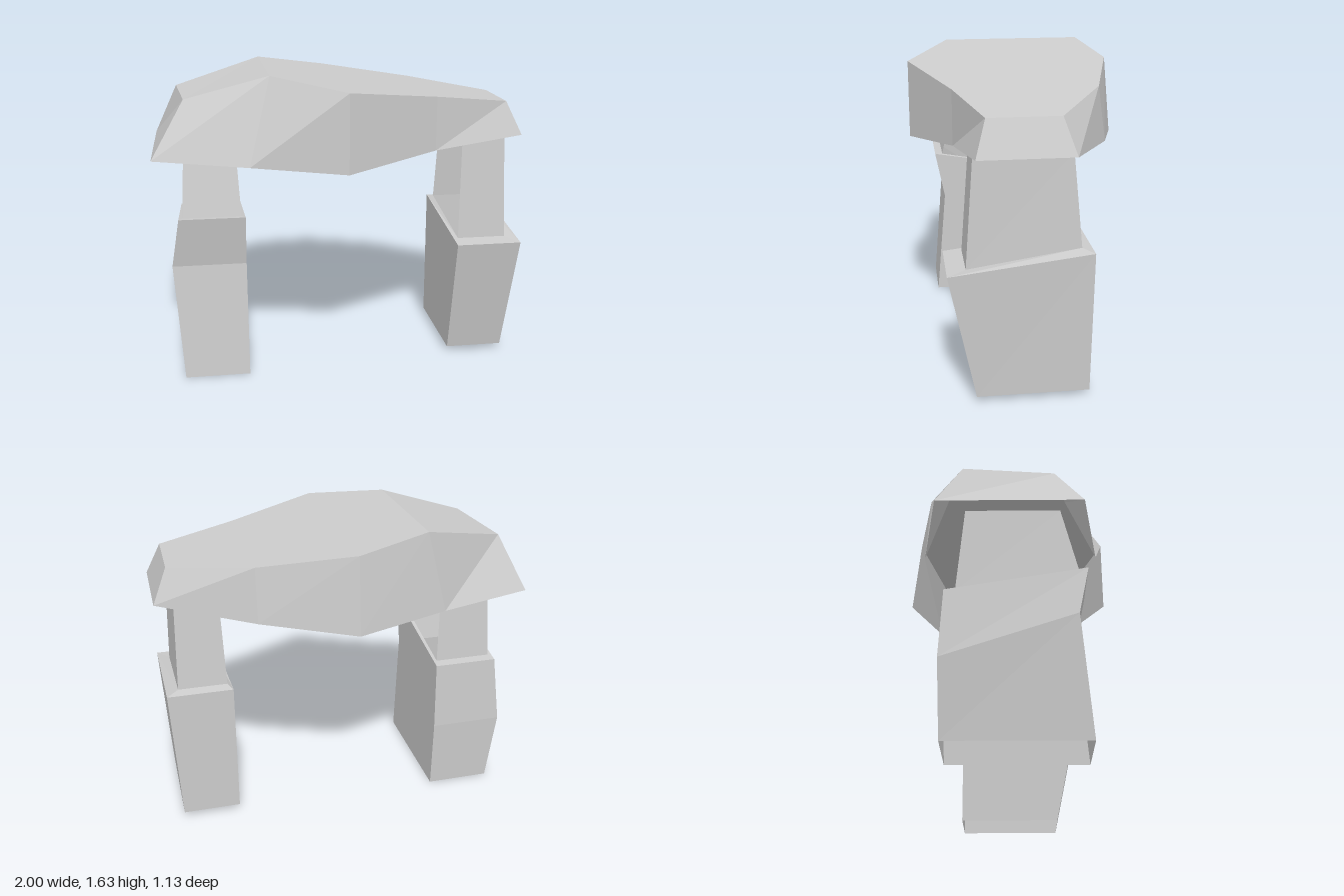
import * as THREE from 'three';

const material = new THREE.MeshStandardMaterial({
  color: 0xcccccc, flatShading: true, side: THREE.DoubleSide,
});

// Builds a mesh from a list of four-cornered faces.
function quadMesh(name, quads) {
  const pos = [];
  for (const [a, b, c, d] of quads) pos.push(...a, ...b, ...c, ...a, ...c, ...d);
  const geo = new THREE.BufferGeometry();
  geo.setAttribute('position', new THREE.Float32BufferAttribute(pos, 3));
  geo.computeVertexNormals();
  const mesh = new THREE.Mesh(geo, material);
  mesh.name = name;
  return mesh;
}

// Joins two closed loops of points with a wall, leaving out the listed edges.
function wall(low, high, skip = []) {
  const quads = [];
  low.forEach((p, i) => {
    const j = (i + 1) % low.length;
    if (!skip.includes(i)) quads.push([p, low[j], high[j], high[i]]);
  });
  return quads;
}

// Four-cornered leg section: inner and outer x, then [y, z] at front and back.
function section(side, xIn, xOut, [yf, zf], [yb, zb]) {
  const loop = [
    [side * xIn, yf, zf], [side * xOut, yf, zf],
    [side * xOut, yb, zb], [side * xIn, yb, zb],
  ];
  // mirrored sections run the other way round so faces still point outward
  return side > 0 ? loop : [loop[1], loop[0], loop[3], loop[2]];
}

function leg(side, name, lower, upper) {
  const group = new THREE.Group();
  group.name = name;
  const low = lower.map((s) => section(side, ...s));
  const up = upper.map((s) => section(side, ...s));
  const rim = low[low.length - 1];
  const innerEdge = side > 0 ? 3 : 1;
  // lower block, open underneath
  const quads = [];
  for (let i = 0; i + 1 < low.length; i++) quads.push(...wall(low[i], low[i + 1]));
  group.add(quadMesh('lowerLeg', quads));
  // narrow ledge around the foot of the upper block
  group.add(quadMesh('legLedge', wall(rim, up[0])));
  // upper block, open on its inner side
  group.add(quadMesh('upperLeg', wall(up[0], up[1], [innerEdge])));
  return group;
}

// Faceted roof shell, open underneath.
function roof() {
  // stations along x: [y, front x, front z, back x, back z]
  const lower = [
    [1.22, -1, 0.39, -1, -0.36],
    [1.19, -0.5, 0.48, -0.5, -0.45],
    [1.155, 0, 0.565, 0, -0.57],
    [1.22, 0.5, 0.36, 0.5, -0.43],
    [1.275, 1, 0.29, 1, -0.19],
  ];
  const upper = [
    [1.51, -0.825, 0.25, -0.87, -0.23],
    [1.635, -0.38, 0.33, -0.39, -0.44],
    [1.575, 0, 0.565, 0, -0.53],
    [1.51, 0.5, 0.36, 0.5, -0.39],
    [1.455, 0.92, 0.235, 0.92, -0.13],
  ];
  const front = (s) => [s[1], s[0], s[2]];
  const back = (s) => [s[3], s[0], s[4]];
  const loop = (st) => [...st.map(front), ...st.map(back).reverse()];
  const quads = wall(loop(lower), loop(upper));
  // top surface
  for (let i = 0; i + 1 < upper.length; i++) {
    const a = upper[i], b = upper[i + 1];
    quads.push([front(a), front(b), back(b), back(a)]);
  }
  return quadMesh('roof', quads);
}

export function createModel() {
  const model = new THREE.Group();
  model.name = 'arch';
  model.add(roof());
  model.add(leg(1, 'leftLeg', [
    [0.625, 0.94, [0.03, 0.29], [0.03, -0.285]],
    [0.625, 0.98, [0.70, 0.43], [0.785, -0.29]],
  ], [
    [0.65, 0.915, [0.71, 0.335], [0.795, -0.235]],
    [0.665, 0.9, [1.275, 0.295], [1.275, -0.19]],
  ]));
  model.add(leg(-1, 'rightLeg', [
    [0.525, 0.875, [0, 0.405], [0, -0.31]],
    [0.525, 0.92, [0.63, 0.35], [0.4, -0.325]],
    [0.525, 0.875, [0.905, 0.405], [0.785, -0.31]],
  ], [
    [0.545, 0.855, [0.9, 0.36], [0.79, -0.255]],
    [0.565, 0.835, [1.27, 0.275], [1.27, -0.215]],
  ]));
  return model;
}
